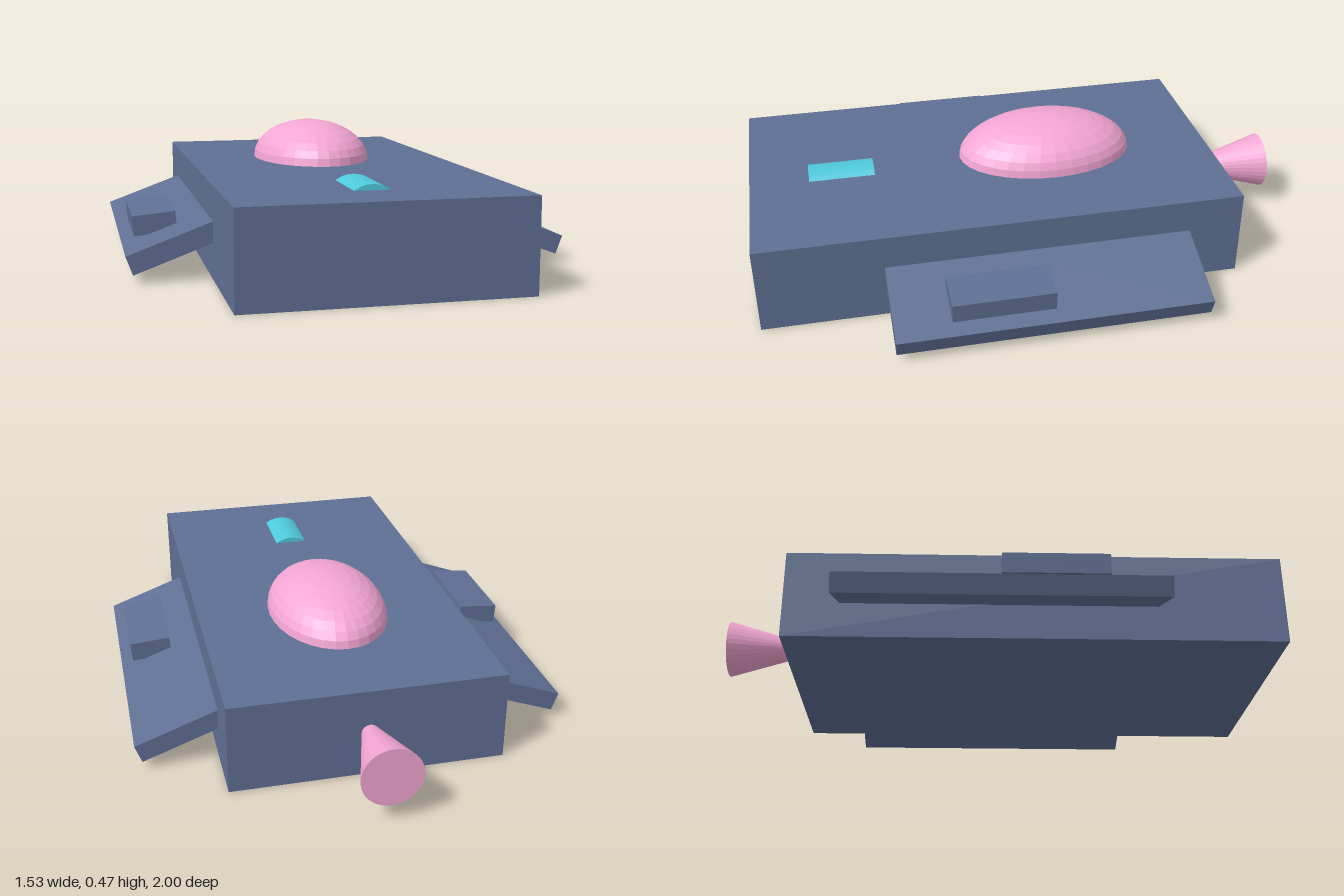
import * as THREE from 'three';

const hullBlue = new THREE.MeshStandardMaterial({ color: 0x5f7094 });
const pink = new THREE.MeshStandardMaterial({ color: 0xf4a6d4, flatShading: true });
const cyan = new THREE.MeshStandardMaterial({ color: 0x4fc9dc, flatShading: true });

export function createModel() {
  const model = new THREE.Group();
  model.name = 'spacecraft';

  const add = (name, geometry, material, x, y, z) => {
    const mesh = new THREE.Mesh(geometry, material);
    mesh.name = name;
    mesh.position.set(x, y, z);
    model.add(mesh);
    return mesh;
  };

  // Main hull slab
  add('hull', new THREE.BoxGeometry(0.96, 0.32, 1.735), hullBlue, 0, 0.16, 0.1325);

  // Canopy dome, upper half of a stretched sphere
  const dome = new THREE.SphereGeometry(1, 32, 8, 0, Math.PI * 2, 0, Math.PI / 2);
  add('canopy', dome, pink, 0, 0.32, -0.11).scale.set(0.217, 0.145, 0.328);

  // Nose light, a cylinder sunk into the deck
  const light = new THREE.CylinderGeometry(0.106, 0.106, 0.24, 32).rotateX(Math.PI / 2);
  add('deckLight', light, cyan, 0, 0.234, 0.665);

  // Exhaust cone flaring towards the rear
  const exhaust = new THREE.ConeGeometry(0.105, 0.37, 32).rotateX(Math.PI / 2);
  add('exhaust', exhaust, pink, 0, 0.163, -0.815);

  // Drooping wings with a pod on each
  for (const [prefix, side] of [['left', 1], ['right', -1]]) {
    const wing = new THREE.BoxGeometry(0.5, 0.068, 1.1);
    add(prefix + 'Wing', wing, hullBlue, side * 0.52, 0.148, 0.01).rotation.z = -side * 0.349;

    const pod = new THREE.BoxGeometry(0.148, 0.07, 0.355);
    add(prefix + 'WingPod', pod, hullBlue, side * 0.654, 0.163, 0.188).rotation.z = -side * 0.087;
  }

  return model;
}
